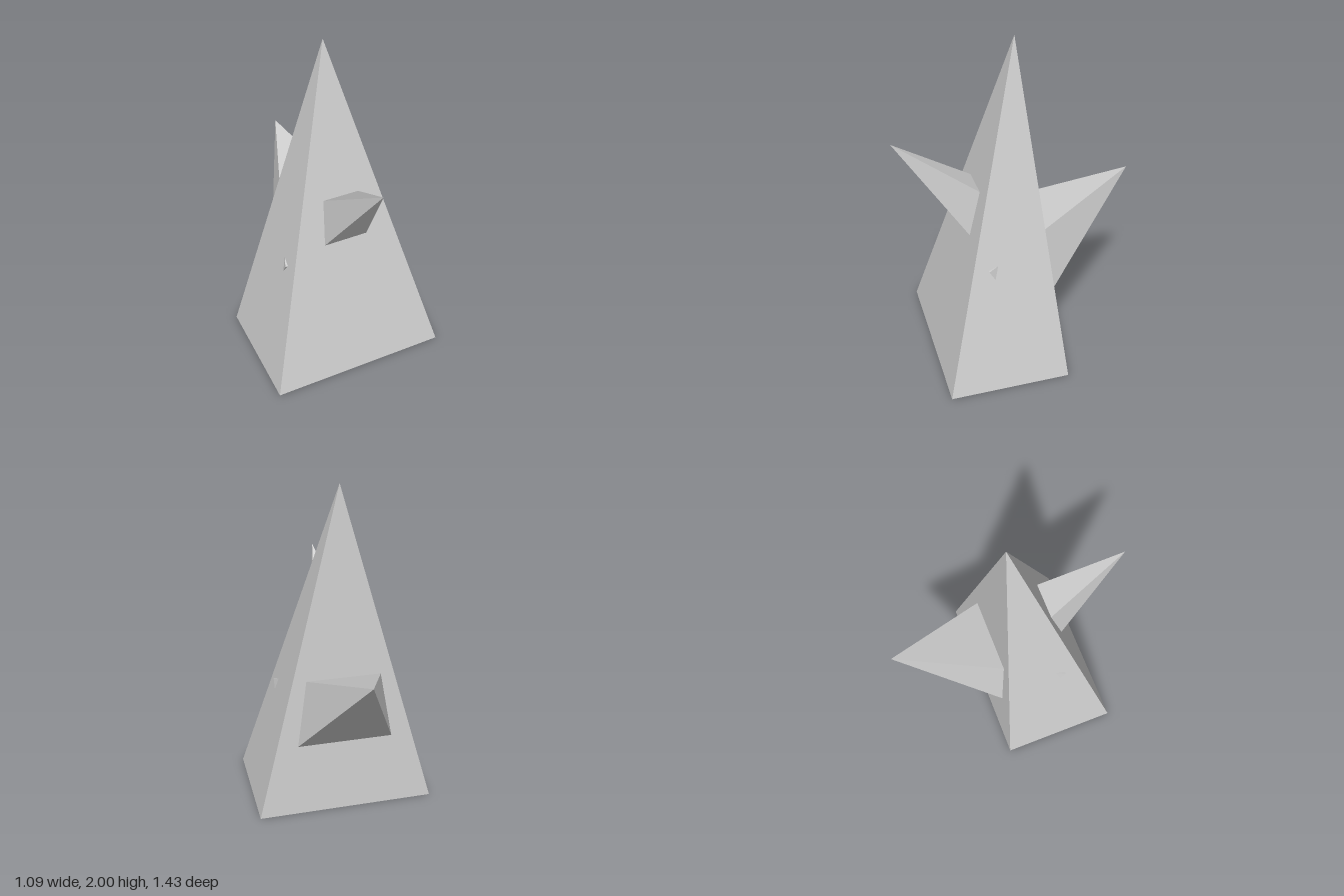
import * as THREE from 'three';
import { ConvexGeometry } from 'three/addons/geometries/ConvexGeometry.js';

const material = new THREE.MeshStandardMaterial({ color: 0xcccccc, flatShading: true });

// Skewed four-sided pyramid, symmetric in x; points are given as [y, z]
function pyramid(name, apex, halfWidth, edgeA, edgeB) {
  const points = [new THREE.Vector3(0, ...apex)];
  for (const edge of [edgeA, edgeB])
    for (const side of [-1, 1]) points.push(new THREE.Vector3(side * halfWidth, ...edge));
  const mesh = new THREE.Mesh(new ConvexGeometry(points), material);
  mesh.name = name;
  return mesh;
}

export function createModel() {
  const model = new THREE.Group();
  model.name = 'spikedPyramid';

  // Tall body, with its tip set towards the back of the base
  model.add(pyramid('body', [2, 0], 0.545, [0, 0.545], [0, -0.18]));

  // Upper spike rising out of the front face
  model.add(pyramid('frontSpike', [1.44, 0.715], 0.17, [0.946, -0.019], [0.697, 0.205]));

  // Large spike out of the back; its upper base corners just pierce the body's sides
  model.add(pyramid('backSpike', [1.08, -0.715], 0.362, [0.73, 0.256], [0.3, -0.005]));

  return model;
}
